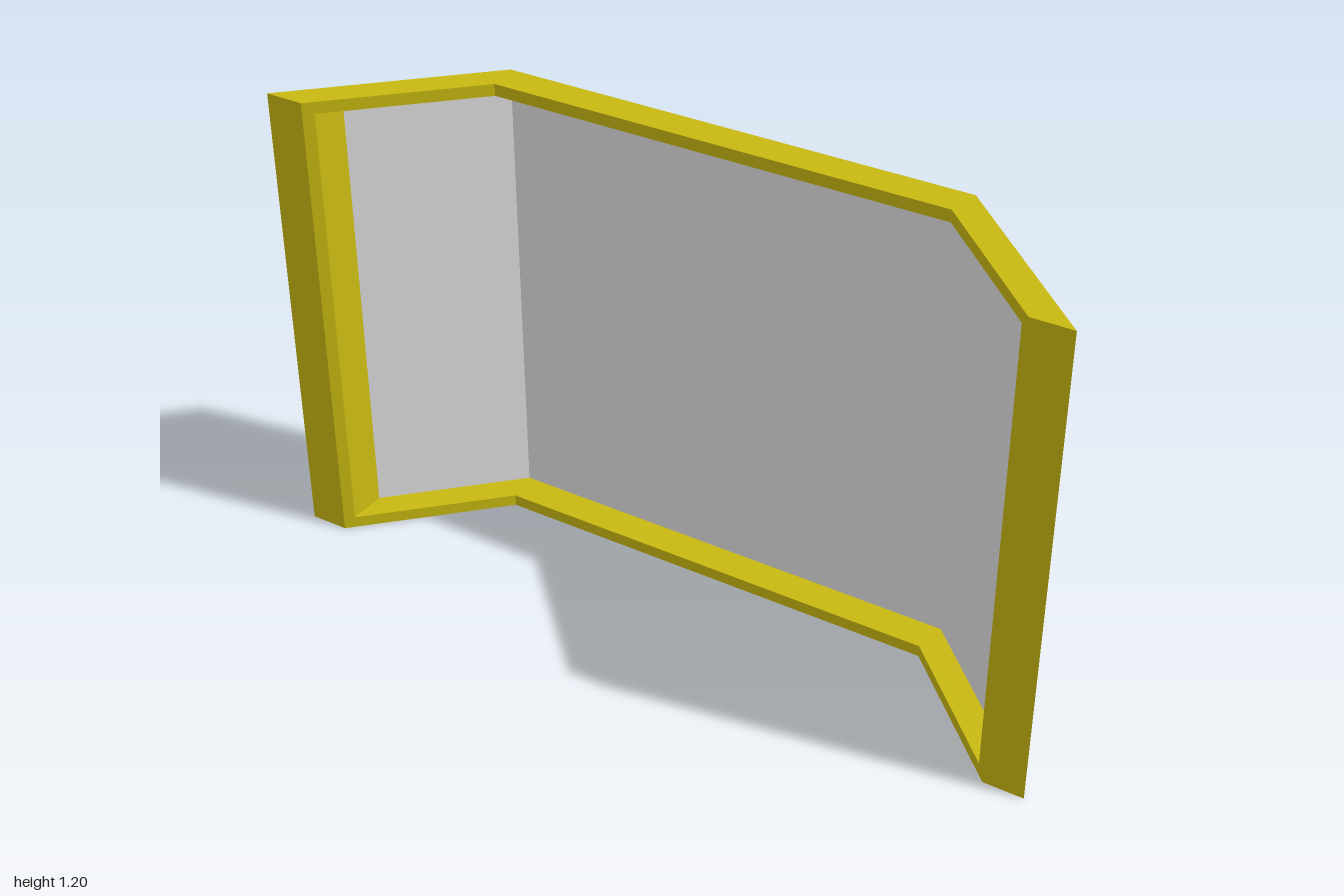
import * as THREE from 'three';

const material = (name, color, side = THREE.FrontSide) => {
  const m = new THREE.MeshStandardMaterial({ color, side });
  m.name = name;
  return m;
};

const H = 1.2, RAIL = 0.03; // overall height and rail thickness

// Upright faces along a plan path of [x, z] points, seen from the right-hand side
// of travel: a path towards +x faces +z.
function wall(path, y0, y1) {
  const v = [];
  for (let i = 0; i + 1 < path.length; i++) {
    const [ax, az] = path[i], [bx, bz] = path[i + 1];
    v.push(ax, y0, az, bx, y0, bz, bx, y1, bz, ax, y0, az, bx, y1, bz, ax, y1, az);
  }
  const g = new THREE.BufferGeometry();
  g.setAttribute('position', new THREE.Float32BufferAttribute(v, 3));
  g.computeVertexNormals();
  return g;
}

// Level face filling a plan outline, facing up or down
function level(outline, y, up) {
  const s = up ? -1 : 1;
  const shape = new THREE.Shape(outline.map(([x, z]) => new THREE.Vector2(x, s * z)));
  return new THREE.ShapeGeometry(shape).rotateX(s * Math.PI / 2).translate(0, y, 0);
}

// Completes a left half path symmetrically, running from -x to +x
const mirrored = (half) => [...half, ...half.map(([x, z]) => [-x, z]).reverse()];

export function createModel() {
  const yellow = material('frame yellow', 0xc8b811);
  const orange = material('border orange', 0xdea614);
  const green = material('edge green', 0x84b614);
  const grey = material('panel grey', 0xe0e0e0, THREE.DoubleSide);

  const model = new THREE.Group();
  model.name = 'foldedScreen';
  const add = (name, geometry, mat) => {
    const mesh = new THREE.Mesh(geometry, mat);
    mesh.name = name;
    model.add(mesh);
  };

  // Plan paths
  const outer = mirrored([[-1, 0.2], [-0.6, -0.2]]);
  const inner = mirrored([[-0.9, 0.2], [-0.585, -0.115]]);
  const border = mirrored([[-0.9, 0.1], [-0.6, -0.2]]);
  const panel = mirrored([[-0.88, 0.08], [-0.6, -0.2]]);
  const opening = mirrored([[-0.88, 0.18], [-0.585, -0.115]]);
  const back = (path) => [...path].reverse();

  // Grey panel, flush with the back
  add('panel', wall(back(panel), RAIL, H - RAIL), grey);

  // Top and bottom rails
  const full = [...outer, ...back(inner)];
  const ledge = [...panel, ...back(opening)];
  add('topRailTop', level(full, H, true), yellow);
  add('topRailUnderside', level(ledge, H - RAIL, false), yellow);
  add('bottomRailLedge', level(ledge, RAIL, true), yellow);
  add('bottomRailUnderside', level(full, 0, false), yellow);
  for (const [name, y] of [['bottomRail', 0], ['topRail', H - RAIL]]) {
    add(name + 'Front', wall(opening, y, y + RAIL), yellow);
    add(name + 'BackBorder', wall(back(border), y, y + RAIL), orange);
  }

  // End posts
  for (const s of [-1, 1]) {
    const side = s < 0 ? 'right' : 'left';
    const strip = (...pts) => {
      const path = pts.map(([x, z]) => [s * x, z]);
      return s < 0 ? path : path.reverse();
    };
    add(side + 'PostFront', wall(strip([1, 0.2], [0.9, 0.2], [0.88, 0.18]), 0, H), yellow);
    add(side + 'PostReveal', wall(strip([0.88, 0.18], [0.88, 0.08]), RAIL, H - RAIL), yellow);
    add(side + 'PostBorder', wall(strip([0.88, 0.08], [0.9, 0.1]), RAIL, H - RAIL), orange);
    add(side + 'PostEdge', wall(strip([0.9, 0.1], [1, 0.2]), 0, H), green);
  }
  return model;
}
